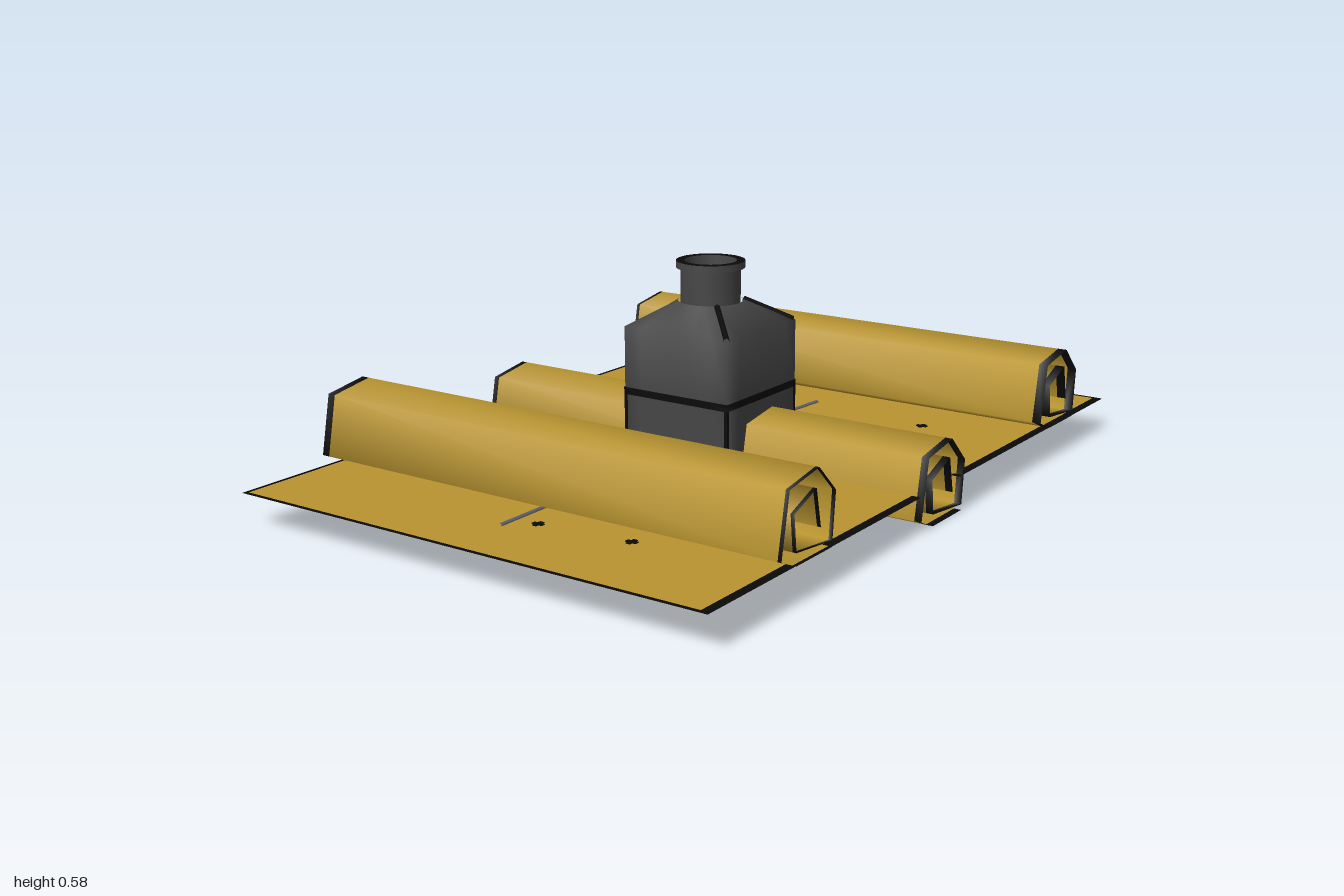
import * as THREE from 'three';

const mat = (name, color, side = THREE.FrontSide) => {
  const m = new THREE.MeshStandardMaterial({ color, side });
  m.name = name;
  return m;
};

// Smooth surface through rows of points, optionally closed around each row
function surface(rows, closed = false) {
  const n = rows[0].length, index = [];
  for (let j = 0; j < rows.length - 1; j++) {
    for (let i = 0; i < (closed ? n : n - 1); i++) {
      const k = (i + 1) % n, a = j * n + i, b = j * n + k;
      index.push(a, b, a + n, b, b + n, a + n);
    }
  }
  const g = new THREE.BufferGeometry();
  g.setAttribute('position', new THREE.Float32BufferAttribute(rows.flat(2), 3));
  g.setIndex(index);
  g.computeVertexNormals();
  return g;
}

// Ring around y: radius r, square when sq is true
function ring(r, y, sq = false) {
  const pts = [];
  for (let i = 0; i < 32; i++) {
    const a = (i / 32) * Math.PI * 2, s = Math.sin(a), c = Math.cos(a);
    const k = sq ? r / Math.max(Math.abs(s), Math.abs(c)) : r;
    pts.push([k * s, y, k * c]);
  }
  return pts;
}

// Ribbon: a [z, y] profile swept from x0 to x1
const ribbon = (profile, x0, x1) =>
  surface(profile.map(([z, y]) => [[x0, y, z], [x1, y, z]]));

export function createModel() {
  const root = new THREE.Group();
  const paper = mat('paper', 0xb8942f, THREE.DoubleSide);
  const ink = mat('ink black', 0x0a0a0a, THREE.DoubleSide);
  const glass = mat('dark glass', 0x464646);
  const shaft = mat('grey shaft', 0x66666c);
  const add = (parent, name, geo, material) => {
    const m = new THREE.Mesh(geo, material);
    m.name = name;
    parent.add(m);
    return m;
  };
  const Y = 0.09;

  // Paper sheet in two spans, with dark edges
  const sheet = new THREE.Group();
  sheet.name = 'sheet';
  root.add(sheet);
  for (const [z0, z1] of [[0.988, 0.1], [-0.1, -0.99]]) {
    const line = [[z0, Y], [z1, Y]];
    add(sheet, 'sheetSpan', ribbon(line, -0.677, 0.657), paper);
    add(sheet, 'sheetLeftEdge', ribbon(line, 0.657, 0.682), ink);
    add(sheet, 'sheetRightEdge', ribbon(line, -0.687, -0.677), ink);
  }
  add(sheet, 'sheetFrontEdge', ribbon([[1, Y], [0.988, Y]], -0.687, 0.682), ink);
  add(sheet, 'sheetBackEdge', ribbon([[-0.99, Y], [-1, Y]], -0.687, 0.682), ink);

  // Rolled paper: six-sided spiral with open ends
  const spiral = [[-0.1, 0], [0.05, 0], [0.11, 0.026], [0.08, 0.18], [-0.04, 0.2],
    [-0.112, 0.13], [-0.1, 0.015], [0.05, 0.03], [0.06, 0.12], [-0.03, 0.155], [-0.05, 0.06]];
  for (const [name, z, y, right, left] of [
    ['frontRoll', 0.62, Y, -0.668, 0.675],
    ['middleRoll', -0.01, 0, -0.675, 0.665],
    ['backRoll', -0.68, Y, -0.68, 0.66],
  ]) {
    const roll = new THREE.Group();
    roll.name = name;
    roll.position.set(0, y + 0.001, z);
    root.add(roll);
    add(roll, 'rollPaper', ribbon(spiral, right, left), paper);
    add(roll, 'rollRightEdge', ribbon(spiral, -0.69, right), ink);
    add(roll, 'rollLeftEdge', ribbon(spiral, left, 0.685), ink);
  }

  // Ink bottle: square body, sloped shoulder, round neck and lip
  const bottle = new THREE.Group();
  bottle.name = 'inkBottle';
  root.add(bottle);
  const S = 0.16;
  add(bottle, 'base', surface([ring(0.001, Y + 0.001), ring(S, Y + 0.001, true)], true), glass);
  add(bottle, 'body', surface([ring(S, Y, true), ring(S, 0.25, true), ring(S, 0.413, true),
    ring(0.085, 0.475)], true), glass);
  add(bottle, 'neck', surface([ring(0.078, 0.465), ring(0.078, 0.562)], true), glass);
  add(bottle, 'lipUnderside', surface([ring(0.078, 0.562), ring(0.09, 0.562)], true), glass);
  add(bottle, 'lip', surface([ring(0.09, 0.562), ring(0.09, 0.58)], true), glass);
  add(bottle, 'rim', surface([ring(0.09, 0.58), ring(0.068, 0.58)], true), ink);
  add(bottle, 'neckInside', surface([ring(0.068, 0.58), ring(0.065, 0.49)], true), glass);
  add(bottle, 'inkSurface', surface([ring(0.066, 0.5), ring(0.001, 0.5)], true), ink);

  // Dark lines on the bottle
  for (const [y0, y1] of [[Y, 0.103], [0.233, 0.252]]) {
    add(bottle, 'darkBand', surface([ring(S + 0.002, y0, true), ring(S + 0.002, y1, true)], true), ink);
  }
  for (const sx of [-1, 1]) {
    for (const sz of [-1, 1]) {
      const post = add(bottle, 'cornerLine', new THREE.BoxGeometry(0.009, 0.14, 0.009), ink);
      post.position.set(sx * 0.157, 0.17, sz * 0.157);
    }
  }
  for (const sz of [-1, 1]) {
    const path = new THREE.LineCurve3(new THREE.Vector3(0.062, 0.474, sz * 0.062),
      new THREE.Vector3(0.155, 0.415, sz * 0.155));
    add(bottle, 'shoulderLine', new THREE.TubeGeometry(path, 1, 0.008, 6), ink);
  }

  // Thin, slightly bent pen shaft lying in the sheet
  const bend = new THREE.CatmullRomCurve3([[0.025, -0.5], [0.005, -0.25], [-0.01, 0],
    [-0.014, 0.4], [-0.014, 0.83]].map(([x, z]) => new THREE.Vector3(x, Y + 0.001, z)));
  add(root, 'penShaft', new THREE.TubeGeometry(bend, 24, 0.006, 6), shaft);

  // Small ink specks
  for (const [x, y, z] of [[0.39, Y, -0.45], [0.07, Y, 0.42], [0.05, Y, 0.77],
    [0.25, Y, 0.12], [0.3, Y, 0.745]]) {
    for (const [w, d] of [[0.03, 0.012], [0.012, 0.03]]) {
      add(root, 'inkSpeck', new THREE.BoxGeometry(w, 0.004, d), ink).position.set(x, y, z);
    }
  }
  return root;
}
